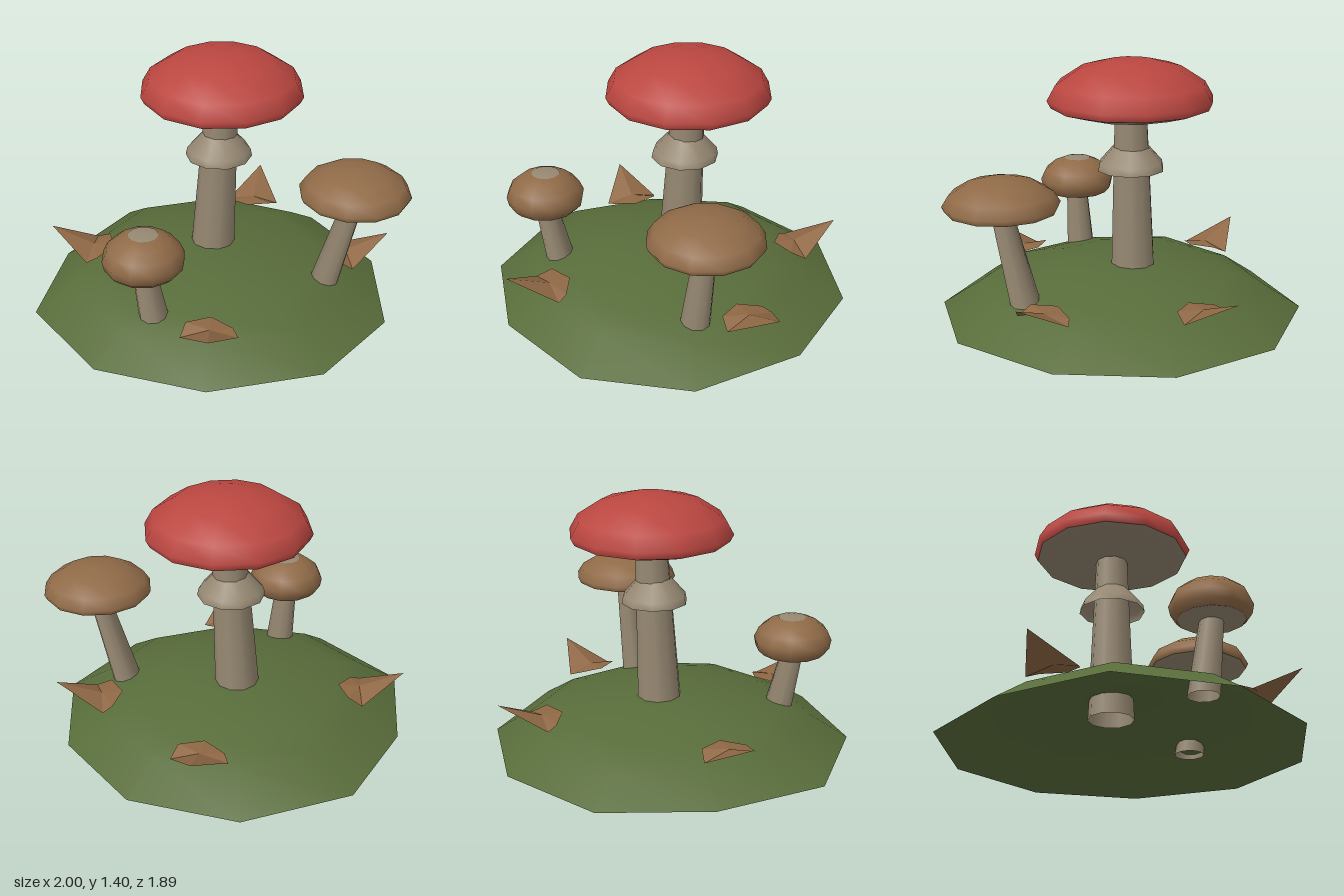
import * as THREE from 'three';
import { mergeVertices } from 'three/addons/utils/BufferGeometryUtils.js';

const material = (name, color, side = THREE.FrontSide) => {
  const m = new THREE.MeshStandardMaterial({ color, side });
  m.name = name;
  return m;
};

const lathe = (points, sides) =>
  new THREE.LatheGeometry(points.map(([r, y]) => new THREE.Vector2(r, y)), sides);

export function createModel() {
  const group = new THREE.Group();
  const green = material('moss green', 0x586c3a, THREE.DoubleSide);
  const red = material('cap red', 0xba4640);
  const brown = material('cap brown', 0x8f6a47);
  const cream = material('stem grey beige', 0x968872, THREE.DoubleSide);
  const leafBrown = material('leaf brown', 0x8f6845, THREE.DoubleSide);

  const add = (parent, name, geometry, mat, x = 0, y = 0, z = 0) => {
    const mesh = new THREE.Mesh(geometry, mat);
    mesh.name = name;
    mesh.position.set(x, y, z);
    parent.add(mesh);
    return mesh;
  };

  // Ground mound: a dome, open below, with an uneven ten-sided rim
  const rim = [[0.35, 0.94], [0.83, 0.6], [1, 0], [0.83, -0.58], [0.35, -0.95],
    [-0.27, -0.95], [-0.73, -0.56], [-1, 0], [-0.78, 0.59], [-0.27, 0.92]];
  const profile = [[1, 0], [0.78, 0.138], [0.62, 0.187], [0.42, 0.235], [0.2, 0.262], [0, 0.27]];
  let mound = lathe(profile, 10);
  const mp = mound.attributes.position;
  for (let i = 0; i < mp.count; i++) {
    const [x, z] = rim[Math.floor(i / profile.length) % 10];
    const r = profile[i % profile.length][0];
    mp.setXYZ(i, x * r, mp.getY(i), z * r);
  }
  mound.deleteAttribute('uv');
  mound.deleteAttribute('normal');
  mound = mergeVertices(mound);
  mound.computeVertexNormals();
  add(group, 'groundMound', mound, green);

  // Leaning open tube between two centres
  const stem = (parent, a, b, r0, r1) => {
    const h = b[1] - a[1];
    const g = new THREE.CylinderGeometry(r1, r0, h, 10, 1, true);
    const p = g.attributes.position;
    for (let i = 0; i < p.count; i++) {
      const t = p.getY(i) / h + 0.5;
      p.setXYZ(i, p.getX(i) + a[0] + (b[0] - a[0]) * t, a[1] + h * t,
        p.getZ(i) + a[2] + (b[2] - a[2]) * t);
    }
    add(parent, 'stem', g, cream);
  };

  // Mushroom: stem, pale gills underneath and a rounded cap
  const mushroom = (name, { foot, top, r0, r1, gills, cap, capMat }) => {
    const m = new THREE.Group();
    m.name = name;
    stem(m, foot, top, r0, r1);
    add(m, 'gills', lathe(gills, 12), cream, top[0], 0, top[2]);
    add(m, 'cap', lathe(cap, 12), capMat, top[0], 0, top[2]);
    group.add(m);
    return m;
  };

  const tall = mushroom('tallMushroom', {
    foot: [0.035, 0.15, -0.075], top: [0.09, 1.13, -0.08], r0: 0.125, r1: 0.088,
    gills: [[0, 1.125], [0.16, 1.115], [0.29, 1.11], [0.425, 1.15]],
    cap: [[0.425, 1.15], [0.445, 1.19], [0.4, 1.27], [0.27, 1.355], [0.13, 1.39], [0, 1.397]],
    capMat: red,
  });
  // Flared skirt around the tall stem
  add(tall, 'skirt', lathe([[0.182, 0.8], [0.174, 0.84], [0.09, 0.935]], 10), cream, 0.073, 0, -0.075);

  mushroom('rightMushroom', {
    foot: [0.555, 0.12, 0.33], top: [0.69, 0.685, 0.395], r0: 0.083, r1: 0.057,
    gills: [[0, 0.68], [0.19, 0.67], [0.285, 0.7]],
    cap: [[0.285, 0.7], [0.3, 0.73], [0.265, 0.785], [0.18, 0.837], [0.09, 0.86], [0, 0.867]],
    capMat: brown,
  });

  const small = mushroom('smallMushroom', {
    foot: [-0.41, 0.1, 0.415], top: [-0.475, 0.48, 0.465], r0: 0.083, r1: 0.062,
    gills: [[0, 0.475], [0.11, 0.465], [0.175, 0.48]],
    cap: [[0.175, 0.48], [0.205, 0.51], [0.215, 0.56], [0.19, 0.615], [0.135, 0.66],
      [0.075, 0.685], [0, 0.69]],
    capMat: brown,
  });
  // Pale spot on the small cap
  add(small, 'capSpot', lathe([[0.078, 0.685], [0.045, 0.692], [0, 0.694]], 12), cream, -0.472, 0, 0.46);

  // Fallen leaf: a fan around its middle, with one raised tip
  const outline = [[-0.07, 0.3, 0.23], [0.14, 0.165, 0.05], [0.13, 0.185, -0.01],
    [0.04, 0.205, -0.11], [-0.1, 0.205, -0.1], [-0.15, 0.165, -0.03]];
  const leafPoints = [];
  outline.forEach((p, i) => leafPoints.push(0, 0.205, 0, ...p, ...outline[(i + 1) % outline.length]));
  const leaf = new THREE.BufferGeometry();
  leaf.setAttribute('position', new THREE.Float32BufferAttribute(leafPoints, 3));
  leaf.computeVertexNormals();
  [['frontLeaf', -0.19, 0.69, 0], ['backLeaf', 0.44, -0.6, 168],
    ['leftLeaf', 0.765, 0.14, 97], ['rightLeaf', -0.61, -0.3, -98]]
    .forEach(([name, x, z, turn]) => {
      add(group, name, leaf, leafBrown, x, 0, z).rotation.y = THREE.MathUtils.degToRad(turn);
    });

  return group;
}
